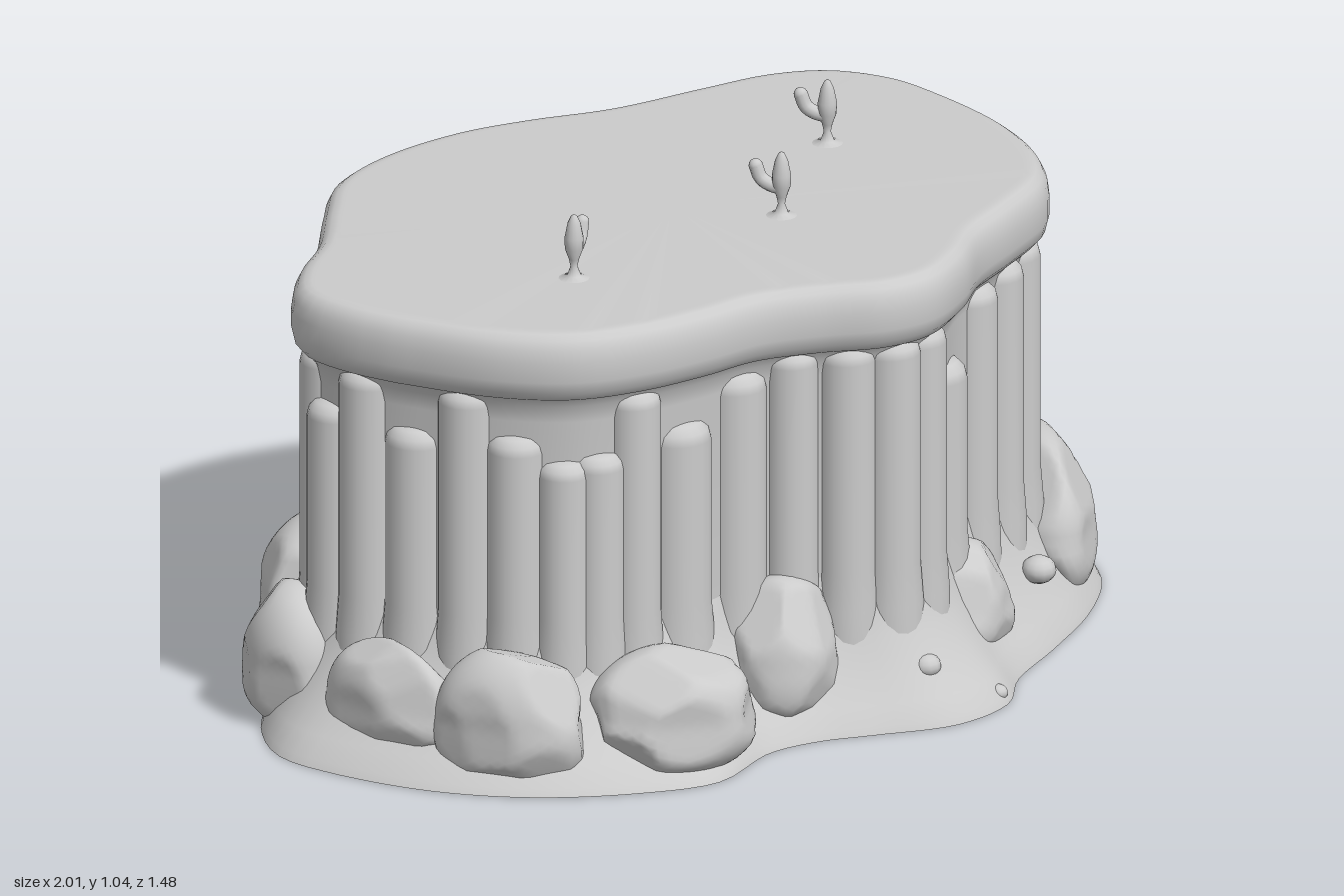
import * as THREE from 'three';
import { toCreasedNormals, mergeVertices } from 'three/addons/utils/BufferGeometryUtils.js';

const material = new THREE.MeshStandardMaterial({ color: 0xcccccc });
const SIDES = 160;

// Outlines as [x, z] points
const capPoints = [
  [0.84, 0], [0.79, 0.2], [0.7, 0.36], [0.6, 0.45], [0.45, 0.5], [0.3, 0.54], [0.18, 0.6], [0.05, 0.635],
  [-0.06, 0.61], [-0.17, 0.53], [-0.28, 0.47], [-0.4, 0.45], [-0.55, 0.41], [-0.68, 0.34], [-0.77, 0.22],
  [-0.83, 0.05], [-0.86, -0.12], [-0.84, -0.25], [-0.74, -0.34], [-0.6, -0.41], [-0.45, -0.52],
  [-0.32, -0.605], [-0.15, -0.635], [0.05, -0.61], [0.2, -0.55], [0.35, -0.47], [0.55, -0.41], [0.7, -0.36],
  [0.8, -0.28], [0.85, -0.15]];
const basePoints = [
  [0.98, 0.03], [0.91, 0.25], [0.81, 0.41], [0.65, 0.52], [0.45, 0.6], [0.27, 0.66], [0.15, 0.735], [0, 0.735],
  [-0.15, 0.65], [-0.25, 0.59], [-0.36, 0.56], [-0.55, 0.59], [-0.7, 0.51], [-0.85, 0.37], [-0.95, 0.2],
  [-1, 0], [-1, -0.15], [-0.92, -0.27], [-0.76, -0.39], [-0.62, -0.49], [-0.5, -0.62], [-0.32, -0.71],
  [-0.1, -0.74], [0.05, -0.71], [0.22, -0.68], [0.32, -0.58], [0.5, -0.48], [0.57, -0.54], [0.68, -0.56],
  [0.76, -0.5], [0.86, -0.41], [0.96, -0.28], [1, -0.12]];

// Radius of a closed outline at any angle
function polar(points) {
  const curve = new THREE.CatmullRomCurve3(points.map(([x, z]) => new THREE.Vector3(x, 0, z)), true);
  const samples = curve.getSpacedPoints(720)
    .map(p => ({ a: Math.atan2(p.z, p.x), r: Math.hypot(p.x, p.z) })).sort((p, q) => p.a - q.a);
  return a => {
    const t = Math.atan2(Math.sin(a), Math.cos(a));
    const i = samples.findIndex(s => s.a >= t);
    if (i <= 0) return samples[0].r;
    const p = samples[i - 1], q = samples[i];
    return p.r + (q.r - p.r) * (t - p.a) / (q.a - p.a || 1);
  };
}
const capRadius = polar(capPoints);
const baseRadius = polar(basePoints);

// Point on the cap outline, moved inwards along its normal
function insetPoint(a, inset) {
  const at = b => new THREE.Vector2(Math.cos(b), Math.sin(b)).multiplyScalar(capRadius(b));
  const tangent = at(a + 0.03).sub(at(a - 0.03)).normalize();
  return at(a).add(new THREE.Vector2(-tangent.y, tangent.x).multiplyScalar(inset));
}

// Skin closed rings stacked upwards; ringAt(level, angle) gives [x, y, z]
function loft(levels, ringAt, closeBottom, closeTop, crease) {
  const pos = [], index = [];
  levels.forEach(level => {
    for (let i = 0; i < SIDES; i++) pos.push(...ringAt(level, i / SIDES * Math.PI * 2));
  });
  for (let k = 0; k < levels.length - 1; k++) {
    for (let i = 0; i < SIDES; i++) {
      const a = k * SIDES + i, b = k * SIDES + (i + 1) % SIDES;
      index.push(a, a + SIDES, b, b, a + SIDES, b + SIDES);
    }
  }
  const close = (row, up) => {
    const c = pos.length / 3;
    pos.push(0, pos[row * SIDES * 3 + 1], 0);
    for (let i = 0; i < SIDES; i++) {
      const a = row * SIDES + i, b = row * SIDES + (i + 1) % SIDES;
      index.push(...(up ? [c, b, a] : [c, a, b]));
    }
  };
  if (closeBottom) close(0, false);
  if (closeTop) close(levels.length - 1, true);
  const geo = new THREE.BufferGeometry();
  geo.setAttribute('position', new THREE.Float32BufferAttribute(pos, 3));
  geo.setIndex(index);
  return toCreasedNormals(geo, crease);
}

function seeded(seed) {
  return () => (seed = (seed * 16807) % 2147483647) / 2147483647;
}

// Boulder: ball cut by random planes into soft facets, spread and flattened at the ground
function boulderGeometry(seed, floor) {
  const random = seeded(seed * 7919 + 13);
  const geo = new THREE.IcosahedronGeometry(1, 8);
  geo.deleteAttribute('normal');
  geo.deleteAttribute('uv');
  const merged = mergeVertices(geo, 1e-4);
  const planes = Array.from({ length: 18 }, () => ({
    n: new THREE.Vector3(random() - 0.5, random() - 0.5, random() - 0.5).normalize(), d: 0.84 + random() * 0.1 }));
  const p = merged.attributes.position, v = new THREE.Vector3();
  for (let i = 0; i < p.count; i++) {
    v.fromBufferAttribute(p, i);
    planes.forEach(({ n, d }) => { const over = v.dot(n) - d; if (over > 0) v.addScaledVector(n, -over); });
    const spread = 1 + 0.25 * Math.max(0, -v.y);
    p.setXYZ(i, v.x * spread, Math.max(v.y, floor), v.z * spread);
  }
  merged.computeVertexNormals();
  return merged;
}

function add(parent, name, geometry) {
  const mesh = new THREE.Mesh(geometry, material);
  mesh.name = name;
  parent.add(mesh);
  return mesh;
}

// Small plant: swollen stem with one thick bent arm along +x
function plant() {
  const g = new THREE.Group();
  const stem = [[0.034, 0], [0.014, 0.006], [0.007, 0.025], [0.01, 0.04], [0.018, 0.062], [0.019, 0.085],
    [0.013, 0.115], [0.006, 0.13], [0, 0.134]].map(p => new THREE.Vector2(...p));
  add(g, 'plantStem', new THREE.LatheGeometry(stem, 14));
  const path = new THREE.CatmullRomCurve3([[0, 0.058], [0.022, 0.062], [0.042, 0.074], [0.053, 0.1]]
    .map(([x, y]) => new THREE.Vector3(x, y, 0)));
  add(g, 'plantArm', new THREE.TubeGeometry(path, 10, 0.014, 10));
  const tip = add(g, 'plantArmTip', new THREE.SphereGeometry(0.014, 12, 8));
  tip.position.set(0.053, 0.099, 0);
  return g;
}

export function createModel() {
  const model = new THREE.Group();
  model.name = 'rockPlateau';

  // Overhanging slab with rounded rim: [inset, y]
  const rim = [[0.09, 0.75], [0.05, 0.755], [0.022, 0.767], [0.006, 0.785], [0, 0.81], [0, 0.85],
    [0.004, 0.875], [0.013, 0.893], [0.026, 0.903], [0.04, 0.905], [0.05, 0.905]];
  add(model, 'topSlab', loft(rim, ([inset, y], a) => {
    const p = insetPoint(a, inset);
    return [p.x, y, p.y];
  }, true, true, 0.7));

  // Cliff wall behind the columns, curving out under the slab: [inset, y]
  add(model, 'cliffWall', loft([[0.05, 0.1], [0.05, 0.71], [0.044, 0.745], [0.028, 0.768]], ([inset, y], a) => {
    const p = insetPoint(a, inset);
    return [p.x, y, p.y];
  }, false, false, 0.8));

  // Sloping foot of the cliff: [y, blend from base to wall]
  const slope = [[0, 0], [0.015, 0.05], [0.05, 0.24], [0.09, 0.45], [0.13, 0.62], [0.17, 0.77], [0.21, 0.89],
    [0.25, 0.97], [0.3, 1.06]];
  add(model, 'footSlope', loft(slope, ([y, t], a) => {
    const p = insetPoint(a, 0.045), r = baseRadius(a);
    return [THREE.MathUtils.lerp(r * Math.cos(a), p.x, t), y, THREE.MathUtils.lerp(r * Math.sin(a), p.y, t)];
  }, true, false, 0.7));

  // Round-topped columns: [angle in degrees, top, radius]
  const columns = [[12, 0.77, 0.065], [20, 0.77, 0.06], [27, 0.77, 0.06], [35, 0.77, 0.065], [44, 0.76, 0.06],
    [53, 0.75, 0.06], [66, 0.65, 0.068], [80, 0.77, 0.06], [91, 0.77, 0.06], [102, 0.77, 0.06], [112, 0.77, 0.055],
    [122, 0.74, 0.065], [134, 0.67, 0.07], [143, 0.76, 0.055], [149, 0.64, 0.055], [155, 0.63, 0.055], [163, 0.68, 0.06],
    [171, 0.77, 0.06], [179, 0.67, 0.065], [-173, 0.77, 0.06], [-166, 0.68, 0.06], [-159, 0.77, 0.06],
    [-151, 0.7, 0.06], [-143, 0.77, 0.065], [-135, 0.66, 0.06], [-127, 0.76, 0.065], [-119, 0.72, 0.06],
    [-110, 0.77, 0.06], [-100, 0.64, 0.068], [-90, 0.75, 0.06], [-80, 0.77, 0.065], [-70, 0.68, 0.065],
    [-60, 0.77, 0.065], [-50, 0.72, 0.06], [-41, 0.77, 0.06], [-33, 0.72, 0.055], [-27, 0.65, 0.055], [-20, 0.77, 0.055]];
  columns.forEach(([deg, top, r]) => {
    const profile = [[r * 1.12, 0.1], [r * 1.1, 0.22], [r, 0.3], [r, top - r * 0.6], [r * 0.93, top - r * 0.32],
      [r * 0.72, top - r * 0.1], [r * 0.4, top - r * 0.01], [0, top]].map(p => new THREE.Vector2(...p));
    const p = insetPoint(deg * Math.PI / 180, r + 0.016);
    add(model, 'cliffColumn', new THREE.LatheGeometry(profile, 20)).position.set(p.x, 0, p.y);
  });

  // Boulders round the foot: [x, y, z, tangential, vertical, radial size]
  const boulders = [[-0.54, 0.12, 0.46, 0.17, 0.13, 0.13], [-0.22, 0.15, 0.47, 0.125, 0.16, 0.11],
    [0.26, 0.13, 0.52, 0.12, 0.13, 0.1], [0.74, 0.14, 0.3, 0.23, 0.17, 0.11], [0.84, 0.14, 0.09, 0.14, 0.16, 0.08],
    [0.68, 0.13, -0.41, 0.18, 0.18, 0.13], [0.18, 0.12, -0.58, 0.11, 0.15, 0.09], [-0.12, 0.11, -0.62, 0.15, 0.13, 0.09],
    [-0.44, 0.11, -0.53, 0.21, 0.15, 0.12], [-0.8, 0.13, -0.29, 0.14, 0.15, 0.1],
    [-0.87, 0.12, 0.02, 0.15, 0.13, 0.07], [-0.8, 0.13, 0.27, 0.15, 0.15, 0.1]];
  boulders.forEach(([x, y, z, along, up, out], i) => {
    const rock = add(model, 'boulder', boulderGeometry(i + 1, (0.003 - y) / up));
    rock.position.set(x, y, z);
    rock.rotation.y = Math.atan2(x * 0.55, z);
    rock.scale.set(along, up, out);
  });

  // Loose pebbles half sunk in the slope
  [[0.01, 0.1, 0.645, 0.03], [0.15, 0.02, 0.71, 0.02], [0.5, 0.13, 0.515, 0.035],
    [0.9, 0.065, 0.1, 0.03]].forEach(([x, y, z, s]) => {
    const pebble = add(model, 'pebble', new THREE.SphereGeometry(s, 12, 8));
    pebble.position.set(x, y, z);
    pebble.scale.y = 0.8;
  });

  // Three plants on top: [x, z, turn]
  [[-0.43, 0.115, 0.4], [0.1, 0.195, 1.98], [0.465, 0.0, 2.1]].forEach(([x, z, turn], i) => {
    const p = plant();
    p.name = 'plant' + (i + 1);
    p.position.set(x, 0.904, z);
    p.rotation.y = turn;
    model.add(p);
  });

  return model;
}
